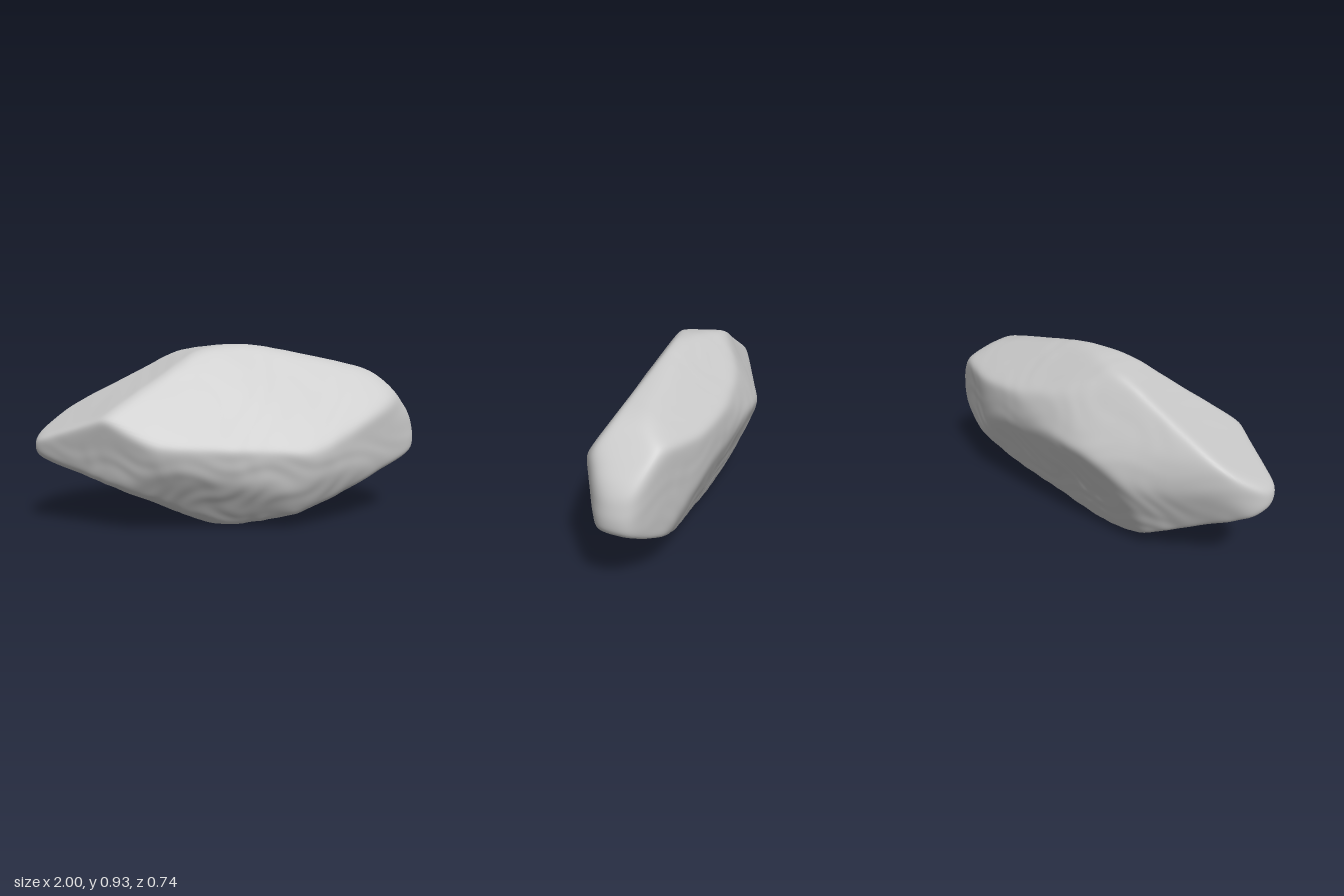
import * as THREE from 'three';
import { mergeVertices } from 'three/addons/utils/BufferGeometryUtils.js';

// Facets of the stone: outward normal and distance from its middle
const FACETS = [
  [0.05, 0.58, 0.81, 0.286],    // broad upper front
  [0, -0.15, 0.99, 0.373],      // front brow
  [-0.1, -0.55, 0.83, 0.395],   // lower front
  [-0.45, -0.25, 0.85, 0.512],  // front, towards -x
  [0.4, -0.08, 0.91, 0.49],     // front, towards +x
  [0.35, -0.45, 0.82, 0.5],     // lower front, towards +x
  [0.6, 0.15, 0.78, 0.665],     // front corner at +x
  [-0.45, 0.87, 0.17, 0.47],    // sloping top, towards -x
  [-0.15, 0.99, 0, 0.468],      // crown, towards -x
  [0.22, 0.975, 0, 0.488],      // sloping top, towards +x
  [0, 1, 0, 0.48],              // crown
  [0.15, 0.82, -0.55, 0.422],   // upper back
  [-0.22, 0.47, -0.86, 0.405],  // upper back, towards -x
  [0, 0.3, -0.95, 0.38],        // back
  [0.15, 0, -0.99, 0.37],       // back, middle
  [0.07, -0.41, -0.91, 0.298],  // undercut back
  [0.4, -0.08, -0.91, 0.48],    // back, towards +x
  [-0.3, 0.1, -0.95, 0.43],     // back, towards -x
  [-0.35, -0.35, -0.87, 0.45],  // undercut back, towards -x
  [-0.66, 0, -0.75, 0.7],       // back corner at -x
  [0.42, -0.9, 0.09, 0.525],    // underside, towards +x
  [0.2, -0.98, 0, 0.455],       // low underside, towards +x
  [-0.4, -0.88, 0.2, 0.48],     // underside, towards -x
  [0, -1, 0, 0.47],             // resting face
  [0.75, 0.65, 0, 0.795],       // shoulder at +x
  [0.6, 0.8, 0, 0.725],         // upper shoulder at +x
  [0.85, 0.1, 0.5, 0.89],       // front of the +x tip
  [0.85, 0.1, -0.5, 0.895],     // back of the +x tip
  [1, 0, 0, 1.02],              // tip at +x
  [-1, 0, 0, 1.006],            // tip at -x
];
const SHARPNESS = 34;

// Distance to the softened facets along a vector, as a multiple of that vector
function reach(v) {
  let sum = 0;
  for (const [x, y, z, d] of FACETS) {
    sum += Math.max(0, (x * v.x + y * v.y + z * v.z) / d) ** SHARPNESS;
  }
  return sum ** (-1 / SHARPNESS);
}

// Gentle weathering, with finer pitting on the lower half
function weathering(p) {
  const broad = Math.sin(7 * p.x + 3 * p.y + 1) * Math.sin(6 * p.y - 5 * p.z + 2 * p.x);
  const fine = Math.sin(23 * p.x + 9 * p.y + 2 * Math.sin(17 * p.y + 5 * p.z))
    * Math.sin(27 * p.y - 13 * p.x + 2 * Math.sin(15 * p.x + 7 * p.z));
  const low = THREE.MathUtils.smoothstep(-p.y, -0.05, 0.2);
  return 0.004 * broad + (0.001 + 0.002 * low) * fine;
}

function stoneGeometry() {
  let geometry = new THREE.IcosahedronGeometry(1, 44);
  geometry.deleteAttribute('uv');
  geometry.deleteAttribute('normal');
  geometry = mergeVertices(geometry, 1e-5);

  const pos = geometry.attributes.position;
  const v = new THREE.Vector3();
  for (let i = 0; i < pos.count; i++) {
    v.fromBufferAttribute(pos, i);
    v.set(v.x, v.y * 0.5, v.z * 0.4);
    v.multiplyScalar(reach(v));
    v.multiplyScalar(1 + weathering(v) / v.length());
    pos.setXYZ(i, v.x, v.y, v.z);
  }

  // Stand it on the ground, centred
  geometry.computeBoundingBox();
  const { min, max } = geometry.boundingBox;
  geometry.translate(-(min.x + max.x) / 2, -min.y, -(min.z + max.z) / 2);
  geometry.computeVertexNormals();
  return geometry;
}

export function createModel() {
  const group = new THREE.Group();
  group.name = 'rock';
  const stone = new THREE.MeshStandardMaterial({ color: 0xc8c8c8 });
  stone.name = 'pale grey stone';
  const boulder = new THREE.Mesh(stoneGeometry(), stone);
  boulder.name = 'boulder';
  group.add(boulder);
  return group;
}
